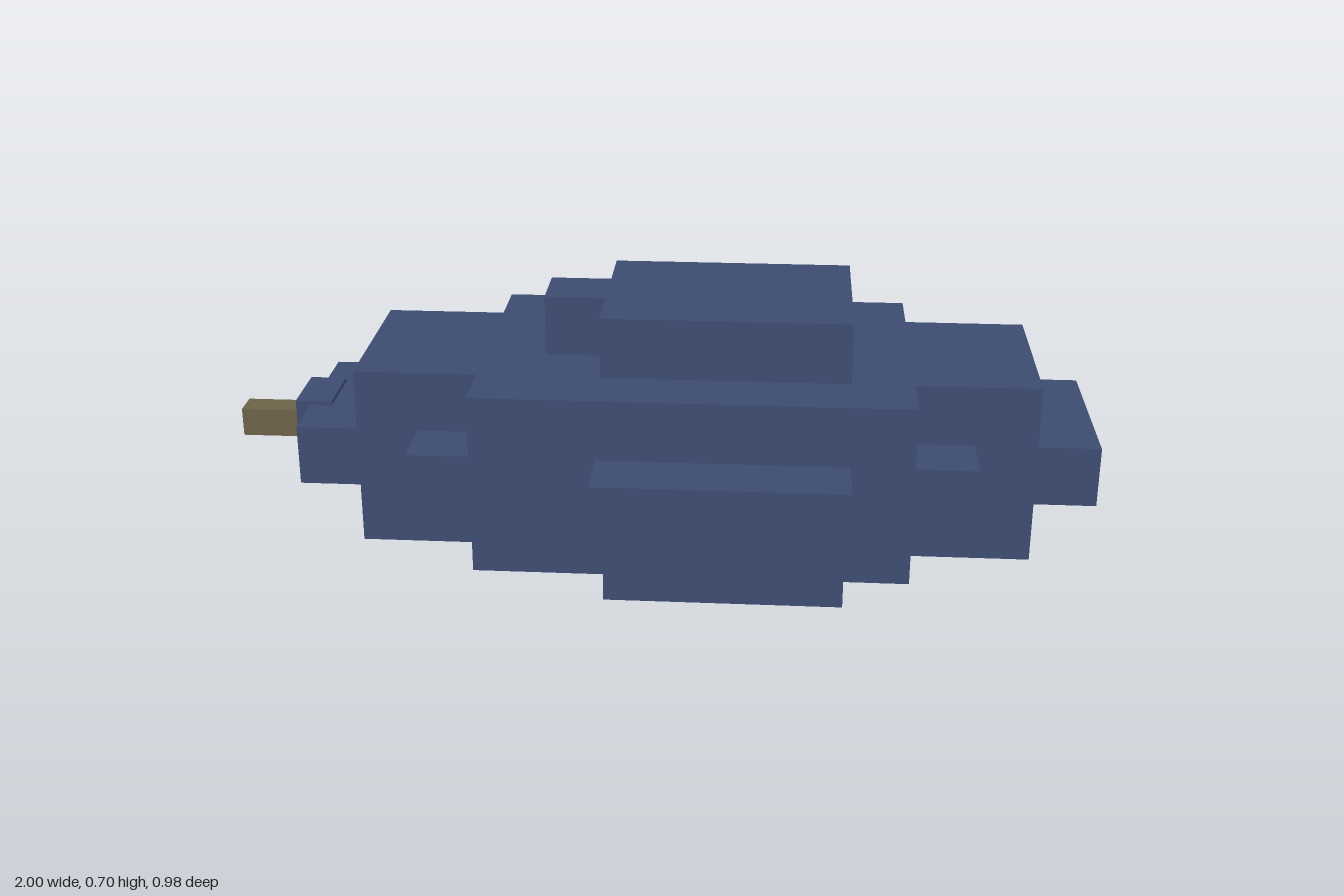
import * as THREE from 'three';

const hullBlue = new THREE.MeshStandardMaterial({ name: 'hullBlue', color: 0x3c4b70 });
const gunBronze = new THREE.MeshStandardMaterial({ name: 'gunBronze', color: 0x6b6248 });

// Stepped slab, symmetric in z. Steps run inner to outer: [half depth, x min, x max]
function slab(name, steps, y0, y1) {
  const right = [], left = [];
  let inner = 0;
  for (const [z, xMin, xMax] of steps) {
    right.push([xMax, inner], [xMax, z]);
    left.push([xMin, inner], [xMin, z]);
    inner = z;
  }
  const half = [...right, ...left.reverse()];
  const mirrored = half.map(([x, z]) => [x, -z]).reverse();
  const points = [...half, ...mirrored]
    .map(([x, z]) => new THREE.Vector2(x, z))
    .filter((p, i, all) => i === 0 || !p.equals(all[i - 1]));
  if (points[0].equals(points[points.length - 1])) points.pop();
  const geometry = new THREE.ExtrudeGeometry(new THREE.Shape(points), { depth: y1 - y0, bevelEnabled: false });
  geometry.rotateX(-Math.PI / 2).translate(0, y0, 0);
  const mesh = new THREE.Mesh(geometry, hullBlue);
  mesh.name = name;
  return mesh;
}

function box(name, material, x0, x1, y0, y1, halfZ) {
  const mesh = new THREE.Mesh(new THREE.BoxGeometry(x1 - x0, y1 - y0, halfZ * 2), material);
  mesh.position.set((x0 + x1) / 2, (y0 + y1) / 2, 0);
  mesh.name = name;
  return mesh;
}

export function createModel() {
  const model = new THREE.Group();
  model.name = 'blockyHull';

  // Main body and the wider belt round its middle
  model.add(slab('mainHull', [[0.21, -0.68, 0.86], [0.35, -0.40, 0.58]], 0.14, 0.56));
  model.add(slab('middleBelt', [[0.21, -0.82, 1.0], [0.35, -0.54, 0.72], [0.49, -0.12, 0.44]], 0.28, 0.42));

  // Matching raised decks above and below
  const deckSteps = [[0.07, -0.26, 0.44], [0.21, -0.12, 0.44]];
  model.add(slab('upperDeck', deckSteps, 0.56, 0.70));
  model.add(slab('lowerDeck', deckSteps, 0, 0.14));

  // Nose mount and barrel
  model.add(box('noseMount', hullBlue, -0.855, -0.77, 0.275, 0.43, 0.077));
  model.add(box('noseBarrel', gunBronze, -1.0, -0.85, 0.32, 0.387, 0.033));

  return model;
}
